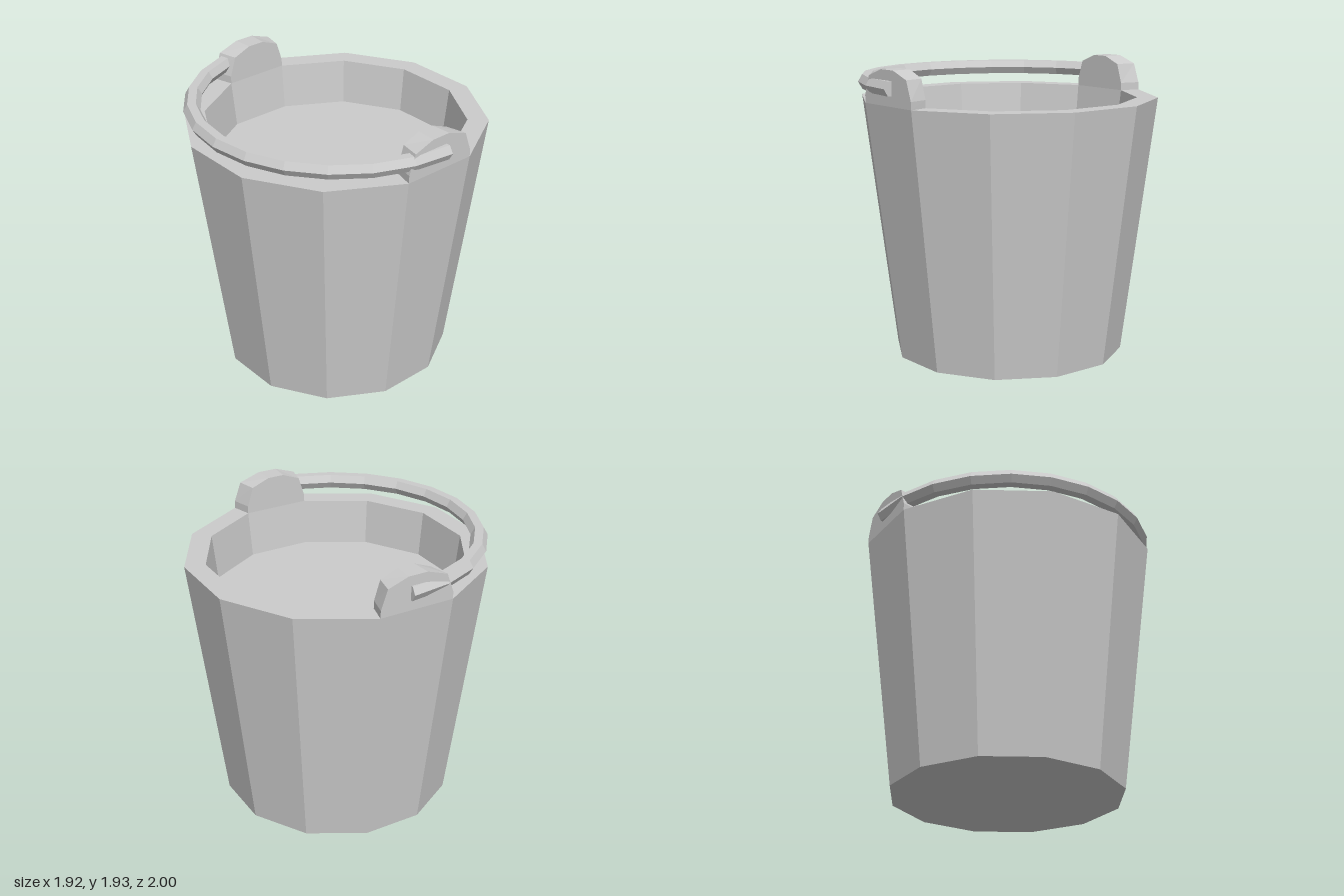
import * as THREE from 'three';

const material = new THREE.MeshStandardMaterial({ color: 0xcccccc, flatShading: true });

function addMesh(parent, geometry, name) {
  const mesh = new THREE.Mesh(geometry, material);
  mesh.name = name;
  parent.add(mesh);
  return mesh;
}

// Twelve-sided tapered tub with a rim and a raised inner floor.
function tubGeometry() {
  const toCorner = 1 / Math.cos(Math.PI / 12);
  const profile = [[0, 0], [0.742, 0], [0.952, 1.71], [0.82, 1.71], [0.787, 1.41], [0, 1.41]]
    .map(([r, y]) => new THREE.Vector2(r * toCorner, y));
  return new THREE.LatheGeometry(profile, 12, Math.PI / 12);
}

// Rounded lug standing on the rim, narrower on its inner side.
function lugGeometry() {
  const half = [[0.255, 1.71], [0.254, 1.76], [0.207, 1.887], [0.066, 1.935]];
  const outline = [...half, ...half.map(([x, y]) => [-x, y]).reverse()];
  const shape = new THREE.Shape(outline.map(([x, y]) => new THREE.Vector2(x, y)));
  const geometry = new THREE.ExtrudeGeometry(shape, { depth: 0.132, bevelEnabled: false });
  geometry.translate(0, 0, 0.82);
  const p = geometry.attributes.position;
  for (let i = 0; i < p.count; i++) p.setX(i, p.getX(i) * p.getZ(i) / 0.952);
  return geometry;
}

export function createModel() {
  const model = new THREE.Group();
  model.name = 'bucket';

  const body = new THREE.Group();
  body.name = 'body';
  body.position.set(0.008, 0, -0.007);
  model.add(body);
  addMesh(body, tubGeometry(), 'tub');
  addMesh(body, lugGeometry(), 'frontLug');
  addMesh(body, lugGeometry(), 'backLug').rotation.y = Math.PI;

  // Half-ring handle of hexagonal section, lying over the right side.
  const handle = new THREE.Group();
  handle.name = 'handle';
  handle.position.set(0.055, 1.823, 0);
  model.add(handle);
  const bar = new THREE.TorusGeometry(0.946, 0.054, 6, 12, Math.PI);
  bar.rotateZ(Math.PI / 2).rotateX(Math.PI / 2).scale(1.02, 1, 1);
  addMesh(handle, bar, 'handleBar');
  for (const side of [1, -1]) {
    const cap = new THREE.CircleGeometry(0.054, 6).rotateY(Math.PI / 2);
    addMesh(handle, cap, side > 0 ? 'frontHandleEnd' : 'backHandleEnd').position.z = side * 0.946;
  }
  return model;
}
